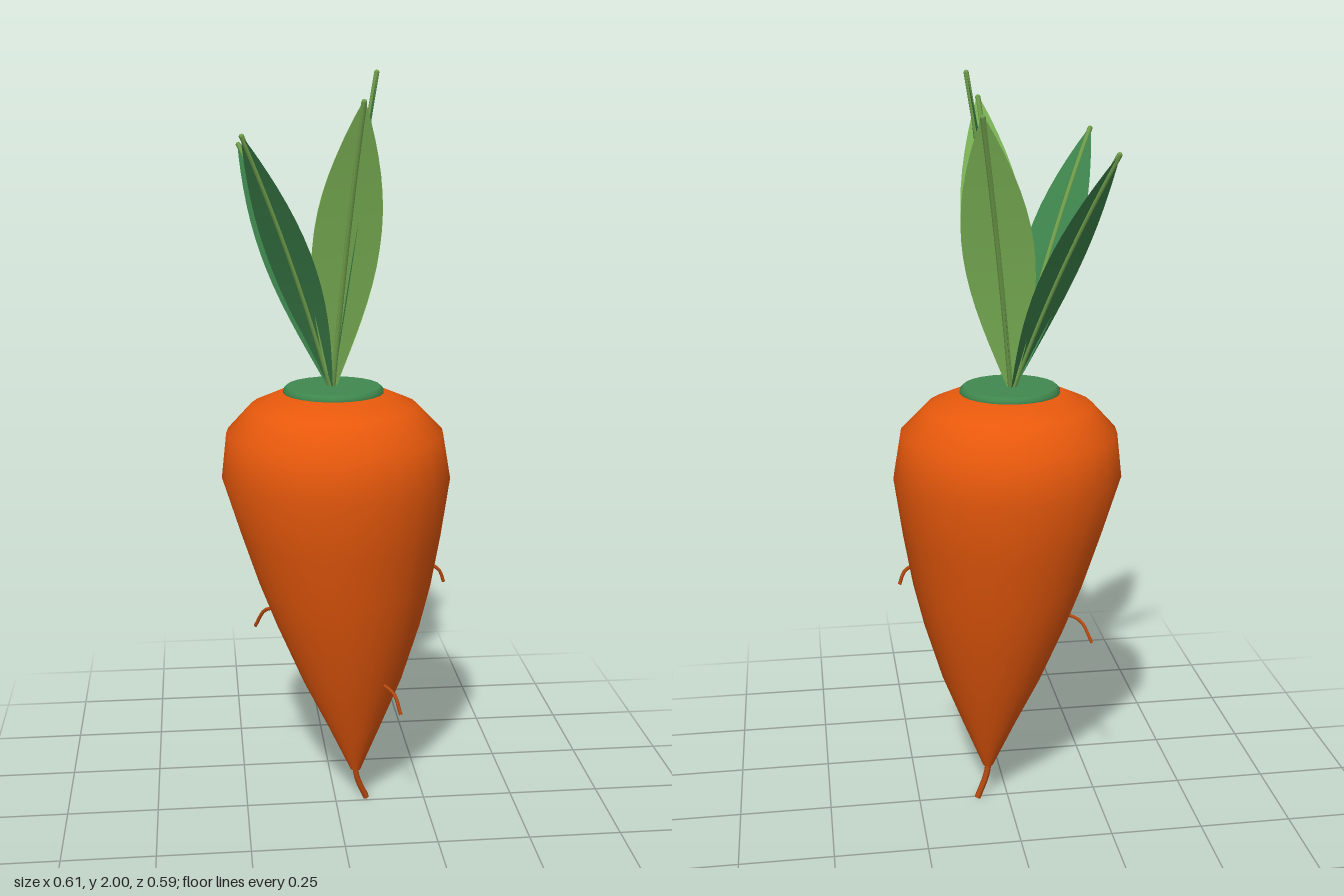
import * as THREE from 'three';

const mat = (name, color, side = THREE.FrontSide) => {
  const m = new THREE.MeshStandardMaterial({ color, side });
  m.name = name;
  return m;
};
const V = (x, y, z) => new THREE.Vector3(x, y, z);

export function createModel() {
  const orange = mat('carrot orange', 0xe8590c);
  const rootColor = mat('root brown orange', 0xb84a10);
  const darkGreen = mat('deep green', 0x40894f, THREE.DoubleSide);
  const lightGreen = mat('fresh green', 0x83bd5b, THREE.DoubleSide);
  const ribGreen = mat('stem green', 0x74a54f);

  const model = new THREE.Group();
  model.name = 'carrot';
  const add = (name, geometry, material, parent = model) => {
    const mesh = new THREE.Mesh(geometry, material);
    mesh.name = name;
    parent.add(mesh);
    return mesh;
  };
  const tube = (points, radius) =>
    new THREE.TubeGeometry(new THREE.CatmullRomCurve3(points), 8, radius, 6);

  // Body: a turned profile whose axis drifts sideways towards the tip
  const profile = [
    [0, 0.09], [0.014, 0.1], [0.075, 0.24], [0.137, 0.38], [0.195, 0.54], [0.232, 0.66],
    [0.267, 0.8], [0.303, 0.96], [0.286, 1.08], [0.22, 1.15], [0.14, 1.185], [0, 1.19],
  ].map(([r, y]) => new THREE.Vector2(r, y));
  const body = new THREE.LatheGeometry(profile, 28);
  const p = body.attributes.position;
  for (let i = 0; i < p.count; i++) {
    const y = p.getY(i);
    const drift = y < 0.96 ? 0.055 * (1 - ((y - 0.09) / 0.87) ** 1.4 || 0) : -0.03 * (y - 0.96);
    p.setX(i, p.getX(i) + drift);
    p.setZ(i, p.getZ(i) * 0.98);
  }
  add('body', body, orange);

  // Thin tail and side rootlets
  add('tail', tube([V(0.052, 0.12, 0), V(0.06, 0.07, -0.003), V(0.087, 0.004, -0.012)], 0.009), rootColor);
  [
    [V(-0.15, 0.57, -0.05), V(-0.19, 0.555, -0.075), V(-0.217, 0.5, -0.1)],
    [V(0.25, 0.71, 0.02), V(0.278, 0.69, 0.02), V(0.292, 0.655, 0.017)],
    [V(0.11, 0.405, 0.11), V(0.142, 0.385, 0.145), V(0.157, 0.335, 0.165)],
  ].forEach((points) => add('rootlet', tube(points, 0.005), rootColor));

  // Crown disc with softened rim
  const crown = new THREE.LatheGeometry(
    [[0.125, 1.17], [0.132, 1.178], [0.132, 1.192], [0.124, 1.201], [0.124, 1.201], [0, 1.201]]
      .map(([r, y]) => new THREE.Vector2(r, y)), 24);
  add('crown', crown, darkGreen).position.x = -0.007;

  // Leaves: flat pointed blades along a gently outward-bending rib
  const base = V(-0.01, 1.18, -0.004);
  const addLeaf = (tip, material) => {
    const leaf = new THREE.Group();
    leaf.name = 'leaf';
    model.add(leaf);
    const out = tip.clone().sub(base);
    const control = V(base.x + out.x * 0.42, base.y + out.y * 0.53, base.z + out.z * 0.42);
    const curve = new THREE.QuadraticBezierCurve3(base, control, tip);
    const side = V(out.z, 0, -out.x).normalize();
    const blade = new THREE.PlaneGeometry(1, 1, 2, 16);
    const pos = blade.attributes.position;
    for (let i = 0; i < pos.count; i++) {
      const t = pos.getY(i) + 0.5;
      const width = 0.004 + 0.09 * Math.max(0, Math.sin(Math.PI * t ** 1.08)) ** 0.95;
      const q = curve.getPoint(t).addScaledVector(side, pos.getX(i) * 2 * width);
      pos.setXYZ(i, q.x, q.y, q.z);
    }
    blade.computeVertexNormals();
    add('leafBlade', blade, material, leaf);
    add('leafRib', new THREE.TubeGeometry(curve, 12, 0.007, 6), ribGreen, leaf);
    const cap = add('leafRibTip', new THREE.SphereGeometry(0.007, 6, 4), ribGreen, leaf);
    cap.position.copy(tip);
  };
  addLeaf(V(-0.238, 1.81, -0.212), darkGreen);
  addLeaf(V(-0.242, 1.845, 0.158), darkGreen);
  addLeaf(V(0.05, 1.925, 0.175), lightGreen);
  addLeaf(V(0.09, 1.9, -0.218), lightGreen);
  addLeaf(V(0.102, 1.993, -0.005), darkGreen);

  return model;
}
